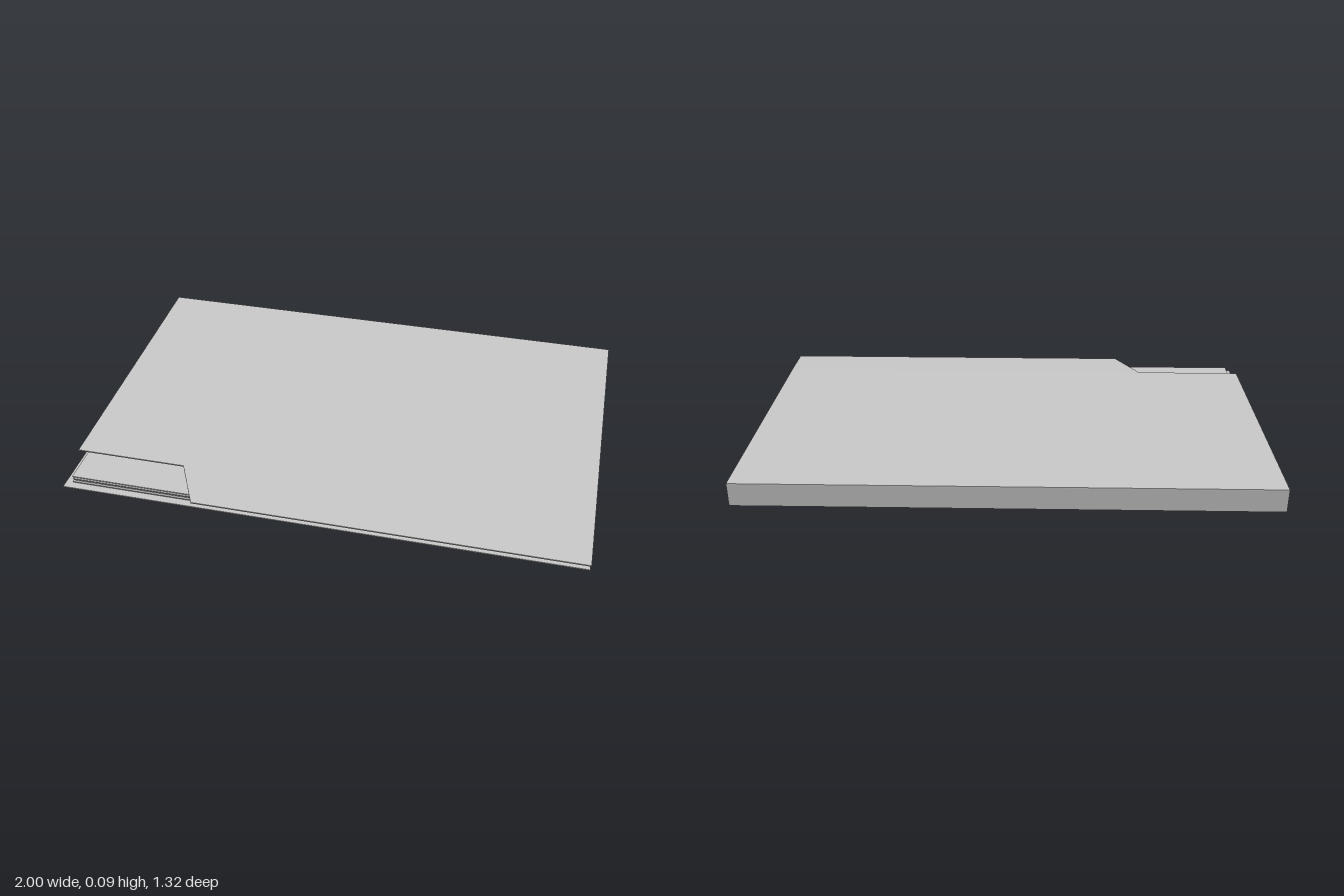
import * as THREE from 'three';

const THICK = 0.005;

// Piecewise height of the slightly bent top cover, hinged at the back
const coverHeight = z => z > 0.475
  ? THREE.MathUtils.mapLinear(z, 0.475, 0.66, 0.059, 0.05)
  : THREE.MathUtils.mapLinear(z, -0.66, 0.475, 0.093, 0.059);

export function createModel() {
  const folder = new THREE.Group();
  folder.name = 'paperFolder';
  const material = new THREE.MeshStandardMaterial({ color: 0xcccccc, flatShading: true });

  const add = (name, geometry) => {
    const mesh = new THREE.Mesh(geometry, material);
    mesh.name = name;
    folder.add(mesh);
    return mesh;
  };

  // Thin card cut from an outline of [x, z] points, its top face following a height rule
  const card = (name, outline, height) => {
    const shape = new THREE.Shape(outline.map(([x, z]) => new THREE.Vector2(x, -z)));
    const geometry = new THREE.ExtrudeGeometry(shape, { depth: THICK, bevelEnabled: false });
    geometry.rotateX(-Math.PI / 2);
    const p = geometry.attributes.position;
    for (let i = 0; i < p.count; i++) {
      p.setY(i, p.getY(i) - THICK + height(p.getZ(i)));
    }
    geometry.computeVertexNormals();
    return add(name, geometry);
  };

  // Back cover lying on the ground
  card('bottomCover', [[-1, 0.635], [1, 0.635], [1, -0.655], [-1, -0.655]], () => 0.007)
    .position.y = -0.002;

  // Front cover and its lower strip, cut away at one corner
  card('topCover', [[-1, 0.475], [1, 0.475], [1, -0.66], [-1, -0.66]], coverHeight);
  card('topCoverFrontStrip', [[-0.47, 0.66], [1, 0.66], [1, 0.475], [-0.565, 0.475]], coverHeight);

  // Leaning spine joining the covers
  const spine = add('spine', new THREE.BoxGeometry(2, 0.09, THICK));
  spine.position.set(0, 0.046, -0.655);
  spine.rotation.x = -0.05;

  // Loose sheets, each a little shifted: [centre x, centre z, y]
  const sheets = [
    [-0.005, -0.016, 0.012],
    [0.002, -0.022, 0.018],
    [-0.004, -0.018, 0.025],
    [-0.008, -0.023, 0.031],
  ];
  sheets.forEach(([x, z, y], i) => {
    add(`sheet${i + 1}`, new THREE.BoxGeometry(1.93, 0.004, 1.25)).position.set(x, y, z);
  });

  return folder;
}
